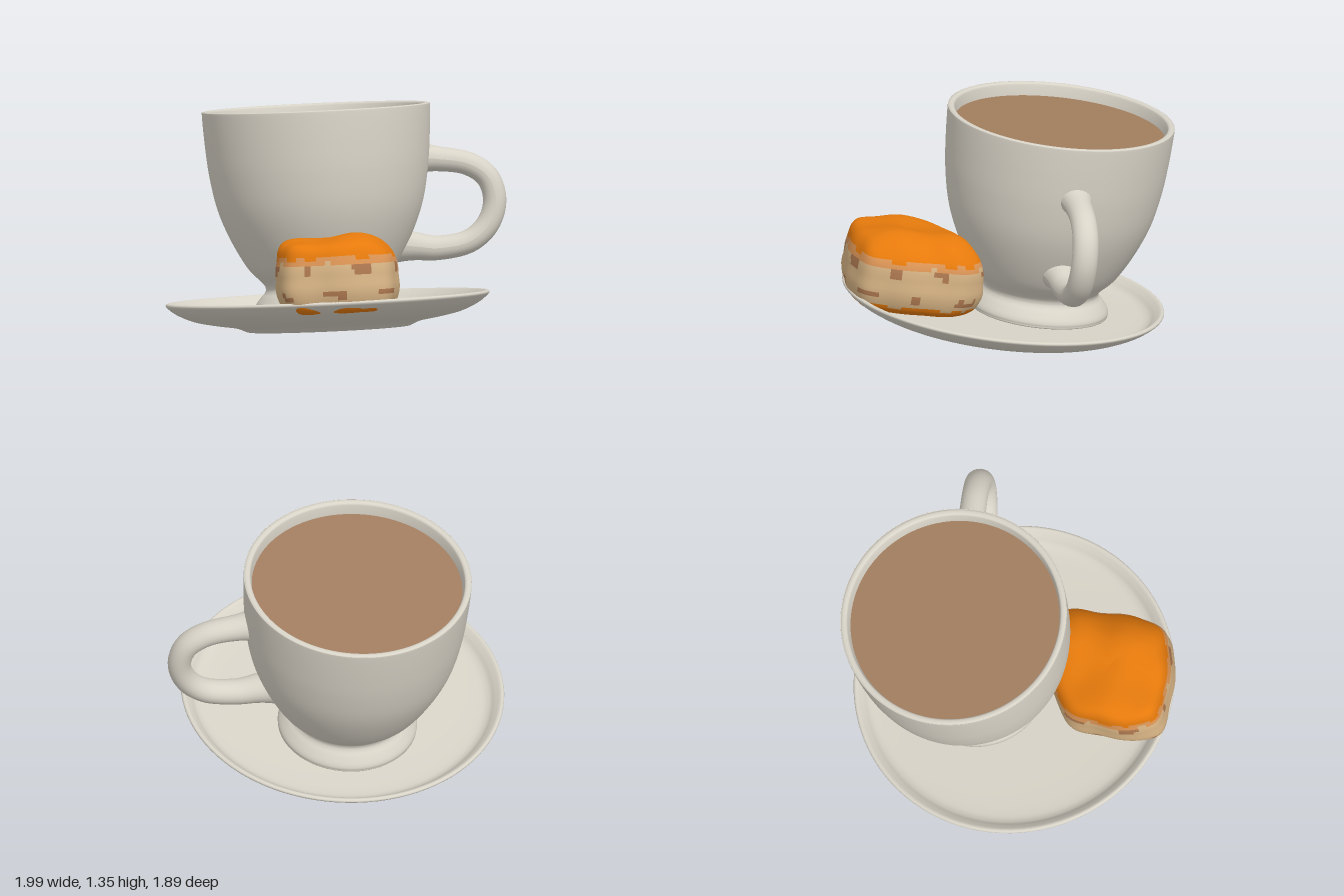
import * as THREE from 'three';

const mat = (name, color, side = THREE.FrontSide) => {
  const m = new THREE.MeshStandardMaterial({ color, side });
  m.name = name;
  return m;
};
const v2 = (pts) => pts.map(([x, y]) => new THREE.Vector2(x, y));

// Smooth turned shape from a few profile points
function turned(name, pts, material, steps = 90) {
  const profile = new THREE.SplineCurve(v2(pts)).getPoints(steps);
  profile.forEach((p) => { p.x = Math.max(p.x, 0); });
  const mesh = new THREE.Mesh(new THREE.LatheGeometry(profile, 96), material);
  mesh.name = name;
  return mesh;
}

// Tube handle whose ends flare where they meet the cup
function makeHandle(material) {
  const path = new THREE.CatmullRomCurve3([
    [0.57, 0.935], [0.66, 0.925], [0.85, 0.886], [0.955, 0.806], [0.99, 0.675],
    [0.945, 0.542], [0.835, 0.45], [0.65, 0.42], [0.53, 0.435], [0.43, 0.45],
  ].map(([x, y]) => new THREE.Vector3(x, y, 0)));
  const rows = 80, sides = 24;
  const geo = new THREE.TubeGeometry(path, rows, 0.066, sides);
  const pos = geo.attributes.position;
  const v = new THREE.Vector3();
  for (let i = 0; i <= rows; i++) {
    const t = i / rows, c = path.getPointAt(t);
    const flare = 1 + 0.5 * Math.exp(-t * 22) + 0.6 * Math.exp(-(1 - t) * 13);
    for (let j = 0; j <= sides; j++) {
      const k = i * (sides + 1) + j;
      v.fromBufferAttribute(pos, k).sub(c).multiplyScalar(flare);
      v.z *= 1.12;
      v.add(c);
      pos.setXYZ(k, v.x, v.y, v.z);
    }
  }
  geo.computeVertexNormals();
  const mesh = new THREE.Mesh(geo, material);
  mesh.name = 'cupHandle';
  return mesh;
}

// Lumpy rounded-square bun: one outline scaled up a profile, coloured in bands
function makeBun(materials) {
  const outline = new THREE.CatmullRomCurve3([
    [-0.24, -0.31], [-0.34, -0.15], [-0.41, 0.08], [-0.385, 0.19], [-0.2, 0.285],
    [0, 0.335], [0.16, 0.325], [0.26, 0.2], [0.34, 0], [0.4, -0.2],
    [0.35, -0.32], [0.2, -0.36], [-0.02, -0.37],
  ].map(([x, z]) => new THREE.Vector3(x, 0, z)), true);
  const profile = new THREE.SplineCurve(v2([
    [0, 0.105], [0.4, 0.105], [0.74, 0.11], [0.89, 0.14], [0.965, 0.19], [1, 0.25],
    [0.985, 0.31], [0.985, 0.36], [0.95, 0.42], [0.89, 0.47], [0.77, 0.51],
    [0.55, 0.535], [0.28, 0.54], [0, 0.53],
  ]));
  const rows = 72, around = 144;
  const ring = outline.getSpacedPoints(around);
  const prof = profile.getSpacedPoints(rows);
  const pos = [], lists = materials.map(() => []);
  for (const p of prof) {
    const lift = THREE.MathUtils.smoothstep(p.y, 0.4, 0.53);
    for (let j = 0; j < around; j++) {
      const a = (j / around) * Math.PI * 2;
      const s = Math.max(p.x, 0) * (1 + 0.01 * Math.sin(5 * a + p.y * 9) + 0.008 * Math.sin(9 * a + 1));
      const x = ring[j].x * s, z = ring[j].z * s;
      const lump = 0.011 * Math.sin(13 * x + 5 * z) + 0.008 * Math.sin(17 * z - 9 * x + 1);
      pos.push(x - 0.03 * lift, p.y + lift * lump, z);
    }
  }
  // Band order: 0 glaze, 1 pale glaze, 2 dough, 3 browned patch
  const band = (y, a) => {
    const w = 0.009 * Math.sin(7 * a) + 0.007 * Math.sin(16 * a + 2);
    if (y > 0.43 + w || y < 0.165 + w * 0.7) return 0;
    if (y > 0.392 + w * 0.8) return 1;
    const patch = Math.sin(8 * a + 0.6) + 0.5 * Math.sin(5 * a + 2);
    if (patch > 0.55 && Math.abs(y - 0.368 - w * 0.5) < 0.022) return 3;
    if (patch < -0.35 && Math.abs(y - 0.215 - w * 0.5) < 0.014) return 3;
    return 2;
  };
  for (let i = 0; i < rows; i++) {
    for (let j = 0; j < around; j++) {
      const n = (j + 1) % around;
      const a = i * around + j, b = i * around + n, c = b + around, d = a + around;
      const list = lists[band((prof[i].y + prof[i + 1].y) / 2, ((j + 0.5) / around) * Math.PI * 2)];
      list.push(a, b, d, b, c, d);
    }
  }
  const geo = new THREE.BufferGeometry();
  geo.setAttribute('position', new THREE.Float32BufferAttribute(pos, 3));
  geo.setIndex(lists.flat());
  let start = 0;
  lists.forEach((l, m) => { geo.addGroup(start, l.length, m); start += l.length; });
  geo.computeVertexNormals();
  const mesh = new THREE.Mesh(geo, materials);
  mesh.name = 'glazedBun';
  return mesh;
}

export function createModel() {
  const china = mat('china', 0xd8d3c7, THREE.DoubleSide);
  const drink = mat('milkyDrink', 0xa27e5f);
  const bunMats = [mat('orangeGlaze', 0xe67a0c), mat('paleGlaze', 0xdb9455),
    mat('dough', 0xd6b384), mat('brownedPatch', 0xad7850)];

  const model = new THREE.Group();
  model.name = 'cupAndSaucer';

  // Everything leans back together
  const set = new THREE.Group();
  set.name = 'tiltedSet';
  set.position.set(-0.085, 0.065, 0.06);
  set.rotation.x = -0.128;
  model.add(set);

  // Saucer: foot ring, shallow underside, rounded lip, flat well
  set.add(turned('saucer', [
    [0, 0.012], [0.2, 0.012], [0.37, 0.012], [0.41, 0.002], [0.455, 0], [0.485, 0.012],
    [0.53, 0.028], [0.65, 0.048], [0.76, 0.073], [0.85, 0.113], [0.9, 0.15], [0.915, 0.168],
    [0.908, 0.18], [0.892, 0.178], [0.865, 0.155], [0.83, 0.122], [0.77, 0.106],
    [0.6, 0.1], [0.3, 0.098], [0, 0.098],
  ], china, 120));

  // Cup with flared foot, rim and inner wall
  const cup = new THREE.Group();
  cup.name = 'cup';
  cup.position.set(0.057, 0, -0.203);
  cup.add(turned('cupBody', [
    [0, 0.099], [0.2, 0.099], [0.37, 0.1], [0.393, 0.118], [0.388, 0.145], [0.36, 0.183],
    [0.335, 0.21], [0.328, 0.235], [0.345, 0.268], [0.425, 0.355], [0.515, 0.52],
    [0.58, 0.69], [0.618, 0.88], [0.636, 1.06], [0.645, 1.225], [0.641, 1.243],
    [0.627, 1.248], [0.611, 1.243], [0.604, 1.225], [0.595, 1.17], [0.59, 1.1],
    [0.4, 1.06], [0, 1.06],
  ], china, 140));
  const surface = new THREE.Mesh(new THREE.CircleGeometry(0.596, 96), drink);
  surface.name = 'drinkSurface';
  surface.rotation.x = -Math.PI / 2;
  surface.position.y = 1.175;
  cup.add(surface);
  const handle = makeHandle(china);
  handle.rotation.y = -0.265;
  cup.add(handle);
  set.add(cup);

  // Bun resting at the front of the saucer
  const bun = makeBun(bunMats);
  bun.position.set(-0.125, 0, 0.58);
  set.add(bun);
  return model;
}
